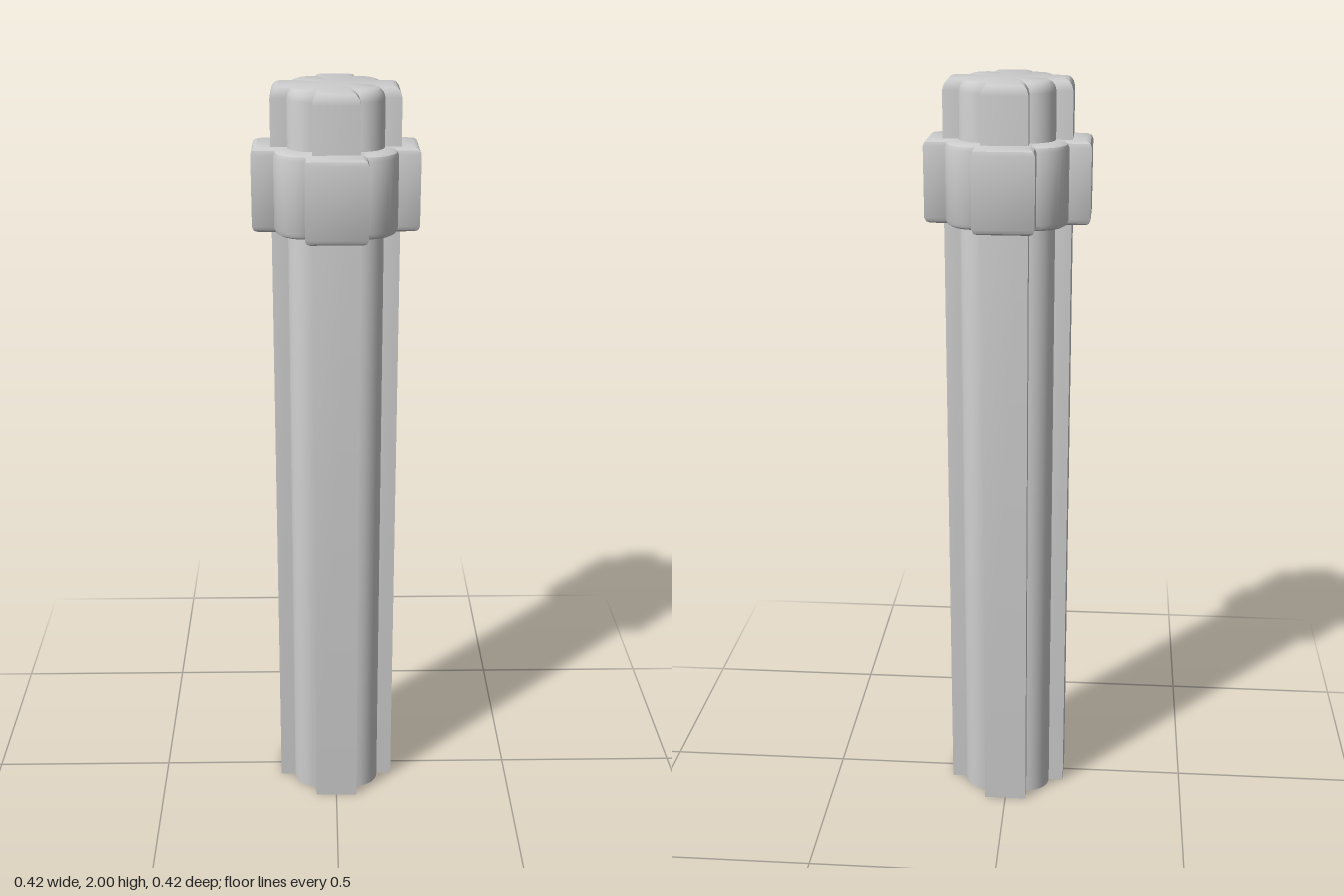
import * as THREE from 'three';
import { toCreasedNormals } from 'three/addons/utils/BufferGeometryUtils.js';

const ARC = 8;

// Cross outline: four flat arms (reach, half-width) with quarter-round lobes between, inset by d
function outline({ reach, half, radius }, d = 0) {
  const pts = [];
  const r = radius - d;
  const a0 = -Math.asin(Math.min(1, d / r));
  for (let q = 0; q < 4; q++) {
    const c = Math.round(Math.cos(q * Math.PI / 2));
    const s = Math.round(Math.sin(q * Math.PI / 2));
    const add = (x, y) => pts.push([x * c - y * s, x * s + y * c]);
    add(reach - d, half - d);
    for (let i = 0; i <= ARC; i++) {
      const a = a0 + (Math.PI / 2 - 2 * a0) * i / ARC;
      add(half + r * Math.cos(a), half + r * Math.sin(a));
    }
    add(half - d, reach - d);
  }
  return pts;
}

// Skin a list of [outline, y] sections, optionally closing the top
function loft(sections, capTop = false) {
  const pos = [];
  const idx = [];
  const n = sections[0][0].length;
  for (const [pts, y] of sections) for (const [x, v] of pts) pos.push(x, y, -v);
  for (let k = 0; k < sections.length - 1; k++) {
    for (let i = 0; i < n; i++) {
      const a = k * n + i, b = k * n + (i + 1) % n;
      idx.push(a, b, b + n, a, b + n, a + n);
    }
  }
  if (capTop) {
    const base = (sections.length - 1) * n;
    pos.push(0, sections[sections.length - 1][1], 0);
    for (let i = 0; i < n; i++) idx.push(base + i, base + (i + 1) % n, base + n);
  }
  const g = new THREE.BufferGeometry();
  g.setAttribute('position', new THREE.Float32BufferAttribute(pos, 3));
  g.setIndex(idx);
  return toCreasedNormals(g, 0.6);
}

export function createModel() {
  const group = new THREE.Group();
  const material = new THREE.MeshStandardMaterial({ color: 0xcccccc, side: THREE.DoubleSide });
  const add = (name, geometry) => {
    const mesh = new THREE.Mesh(geometry, material);
    mesh.name = name;
    group.add(mesh);
  };

  const shaft = { reach: 0.161, half: 0.058, radius: 0.062 };
  const band = { reach: 0.209, half: 0.077, radius: 0.077 };

  // Hollow shaft, open at the bottom, with a rounded closed top
  add('shaft', loft([
    [outline(shaft), 0],
    [outline(shaft), 1.972],
    [outline(shaft, 0.004), 1.986],
    [outline(shaft, 0.012), 1.996],
    [outline(shaft, 0.023), 2],
  ], true));

  // Wider collar with softened edges, meeting the shaft
  add('collar', loft([
    [outline(shaft), 1.643],
    [outline(band, 0.013), 1.645],
    [outline(band, 0.004), 1.65],
    [outline(band), 1.66],
    [outline(band), 1.838],
    [outline(band, 0.004), 1.848],
    [outline(band, 0.013), 1.853],
    [outline(shaft), 1.855],
  ]));

  return group;
}
